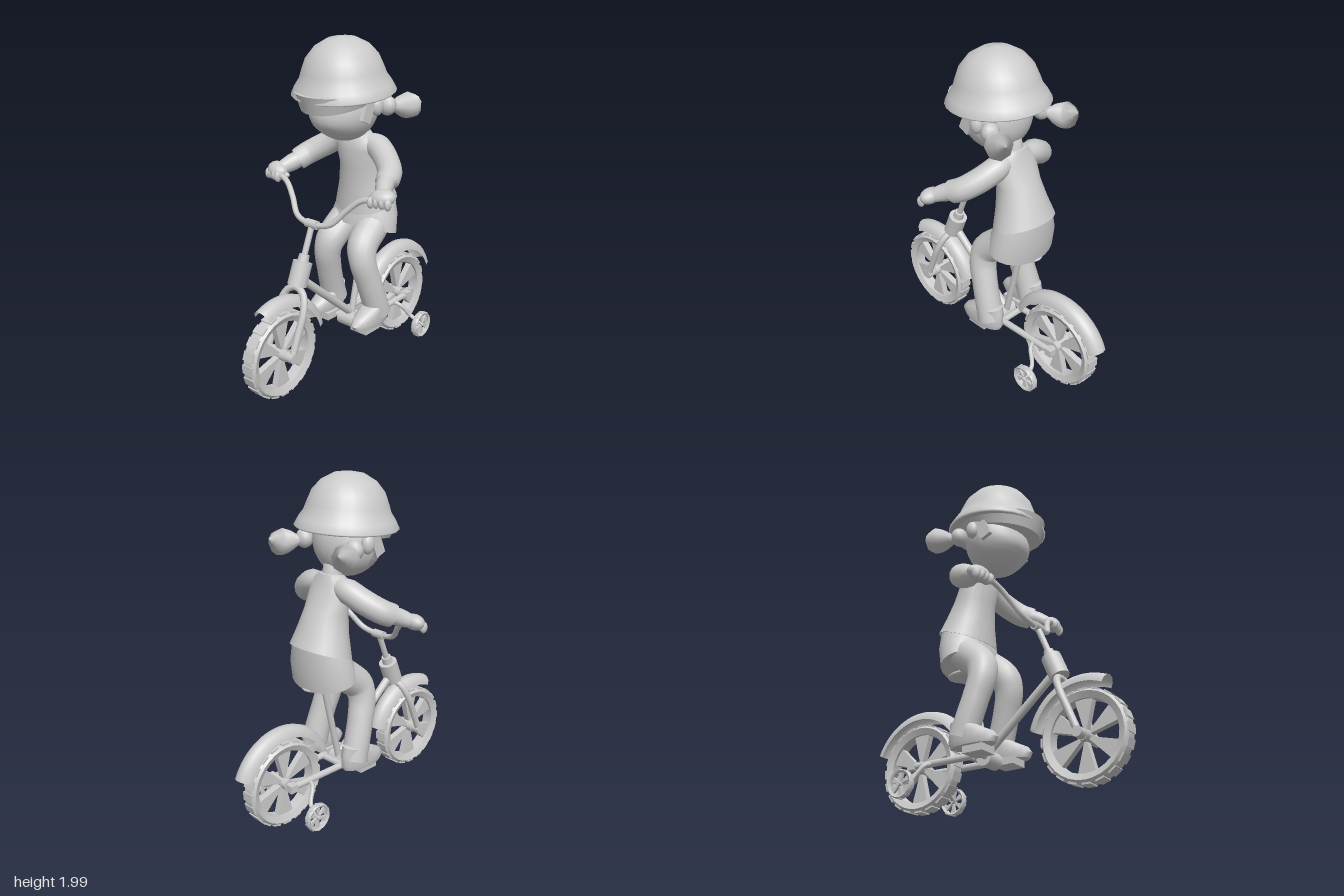
import * as THREE from 'three';
import { toCreasedNormals } from 'three/addons/utils/BufferGeometryUtils.js';

const mat = new THREE.MeshStandardMaterial({ color: 0xcccccc });
const thin = new THREE.MeshStandardMaterial({ color: 0xcccccc, side: THREE.DoubleSide });
const V = (p) => new THREE.Vector3(p[0], p[1], p[2]);
const P2 = (list) => list.map(([r, y]) => new THREE.Vector2(r, y));

function add(parent, name, geo, pos = [0, 0, 0], material = mat) {
  const m = new THREE.Mesh(geo, material);
  m.name = name;
  m.position.set(...pos);
  parent.add(m);
  return m;
}

// Ellipsoid with its own radii
const blob = (rx, ry, rz, w = 16, h = 12) => new THREE.SphereGeometry(1, w, h).scale(rx, ry, rz);

// Straight cylinder between two points
function rod(parent, name, a, b, r, r2 = r, sides = 14) {
  const d = V(b).sub(V(a));
  const m = add(parent, name, new THREE.CylinderGeometry(r2, r, d.length(), sides));
  m.position.copy(V(a).add(V(b)).multiplyScalar(0.5));
  m.quaternion.setFromUnitVectors(new THREE.Vector3(0, 1, 0), d.normalize());
  return m;
}

function pipe(parent, name, pts, r, n = 40) {
  return add(parent, name, new THREE.TubeGeometry(new THREE.CatmullRomCurve3(pts.map(V)), n, r, 10));
}

// Tube whose radius follows the fourth number of each point
function limb(parent, name, pts, n = 28, sides = 14) {
  const curve = new THREE.CatmullRomCurve3(pts.map(V));
  const geo = new THREE.TubeGeometry(curve, n, 1, sides);
  const pos = geo.attributes.position, v = new THREE.Vector3();
  for (let i = 0; i <= n; i++) {
    const c = curve.getPointAt(i / n);
    const t = curve.getUtoTmapping(i / n) * (pts.length - 1);
    const k = Math.min(Math.floor(t), pts.length - 2);
    const r = THREE.MathUtils.lerp(pts[k][3], pts[k + 1][3], t - k);
    for (let j = 0; j <= sides; j++) {
      const id = i * (sides + 1) + j;
      v.fromBufferAttribute(pos, id).sub(c).multiplyScalar(r).add(c);
      pos.setXYZ(id, v.x, v.y, v.z);
    }
  }
  return add(parent, name, geo);
}

// Stacked ellipses, bottom to top: [y, z, rx, rz, rise towards the front]
function loft(sections, sides = 24) {
  const pos = [], idx = [];
  sections.forEach(([y, z, rx, rz, tilt], k) => {
    for (let i = 0; i < sides; i++) {
      const a = (i / sides) * Math.PI * 2, s = Math.sin(a), n = (i + 1) % sides;
      pos.push(rx * Math.cos(a), y + tilt * s, z + rz * s);
      if (k === 0) continue;
      const lo = (k - 1) * sides, hi = k * sides;
      idx.push(lo + i, hi + i, lo + n, lo + n, hi + i, hi + n);
    }
  });
  const g = new THREE.BufferGeometry();
  g.setAttribute('position', new THREE.Float32BufferAttribute(pos, 3));
  g.setIndex(idx);
  return toCreasedNormals(g, 0.9);
}

// Wheel turning about x, with six wedge blades
function wheel(parent, name, R, w, pos, treads) {
  const g = new THREE.Group();
  g.name = name;
  g.position.set(...pos);
  parent.add(g);
  const rin = R * 0.78;
  const prof = [[rin, -w * 0.7], [R * 0.92, -w], [R * 0.985, -w * 0.6], [R * 0.985, w * 0.6], [R * 0.92, w], [rin, w * 0.7], [rin, -w * 0.7]];
  add(g, 'tyre', toCreasedNormals(new THREE.LatheGeometry(P2(prof), 32).rotateZ(Math.PI / 2), 0.6));
  for (let i = 0; i < treads; i++) {
    const a = (i / treads) * Math.PI * 2;
    const t = add(g, 'tread', new THREE.BoxGeometry(w * 1.5, R * 0.04, R * 0.2), [0, Math.cos(a) * R * 0.98, Math.sin(a) * R * 0.98]);
    t.rotation.x = a;
  }
  const s = new THREE.Shape(), h = 0.26;
  s.moveTo(0, 0);
  s.lineTo(Math.cos(h) * R * 0.8, -Math.sin(h) * R * 0.8);
  s.lineTo(R * 0.82, 0);
  s.lineTo(Math.cos(h) * R * 0.8, Math.sin(h) * R * 0.8);
  const blade = new THREE.ExtrudeGeometry(s, { depth: w * 0.8, bevelEnabled: false }).translate(0, 0, -w * 0.4).rotateY(Math.PI / 2);
  for (let i = 0; i < 6; i++) add(g, 'blade', blade).rotation.x = Math.PI / 6 + i * Math.PI / 3;
  add(g, 'hub', new THREE.CylinderGeometry(R * 0.13, R * 0.13, w * 2.3, 14).rotateZ(Math.PI / 2));
}

// Curved mudguard around an axle, angles in degrees from the front
function fender(parent, name, y, z, from, to) {
  const prof = [[0.29, -0.058], [0.32, -0.052], [0.342, -0.03], [0.35, 0], [0.342, 0.03], [0.32, 0.052], [0.29, 0.058]];
  const d = Math.PI / 180;
  add(parent, name, new THREE.LatheGeometry(P2(prof), 24, from * d, (to - from) * d).rotateZ(Math.PI / 2), [0, y, z], thin);
}

function buildBike() {
  const bike = new THREE.Group();
  bike.name = 'bicycle';
  wheel(bike, 'frontWheel', 0.26, 0.05, [0, 0.27, 0.585], 20);
  wheel(bike, 'rearWheel', 0.26, 0.05, [0, 0.27, -0.5], 20);
  fender(bike, 'frontFender', 0.27, 0.585, 64, 165);
  fender(bike, 'rearFender', 0.27, -0.5, 22, 158);

  // Steering column, fork and handlebar
  rod(bike, 'headTube', [0, 0.64, 0.435], [0, 0.77, 0.382], 0.057, 0.057, 18);
  rod(bike, 'headCollar', [0, 0.765, 0.384], [0, 0.81, 0.366], 0.034, 0.03);
  rod(bike, 'stem', [0, 0.78, 0.378], [0, 0.98, 0.297], 0.018);
  pipe(bike, 'fork', [[-0.095, 0.27, 0.585], [-0.095, 0.4, 0.532], [-0.093, 0.52, 0.483], [-0.06, 0.605, 0.449], [0, 0.63, 0.438],
    [0.06, 0.605, 0.449], [0.093, 0.52, 0.483], [0.095, 0.4, 0.532], [0.095, 0.27, 0.585]], 0.021);
  pipe(bike, 'handlebar', [[-0.46, 1.165, 0.18], [-0.38, 1.17, 0.19], [-0.28, 1.15, 0.21], [-0.2, 1.08, 0.245], [-0.13, 1.0, 0.285], [-0.05, 0.975, 0.3],
    [0.05, 0.975, 0.3], [0.13, 1.0, 0.285], [0.2, 1.08, 0.245], [0.28, 1.15, 0.21], [0.38, 1.17, 0.19], [0.46, 1.165, 0.18]], 0.017, 64);
  rod(bike, 'barClamp', [-0.04, 0.975, 0.3], [0.04, 0.975, 0.3], 0.026);
  rod(bike, 'frontAxle', [-0.115, 0.27, 0.585], [0.115, 0.27, 0.585], 0.03);

  // Frame, seat and cranks
  rod(bike, 'downTube', [0, 0.67, 0.4], [0, 0.3, -0.03], 0.024);
  rod(bike, 'seatTube', [0, 0.27, -0.05], [0, 0.79, -0.17], 0.02);
  add(bike, 'saddle', blob(0.085, 0.025, 0.12), [0, 0.79, -0.2]);
  rod(bike, 'bottomBracket', [-0.06, 0.25, -0.03], [0.06, 0.25, -0.03], 0.048, 0.048, 18);
  rod(bike, 'crankAxle', [-0.2, 0.255, -0.02], [0.2, 0.255, -0.02], 0.018);
  rod(bike, 'rearAxle', [-0.11, 0.265, -0.5], [0.11, 0.265, -0.5], 0.022);
  rod(bike, 'stayBridge', [-0.09, 0.26, -0.1], [0.09, 0.26, -0.1], 0.02);
  for (const s of [-1, 1]) {
    add(bike, 'pedal', new THREE.BoxGeometry(0.12, 0.045, 0.13), [s * 0.15, 0.262, 0]);
    rod(bike, 'chainStay', [s * 0.085, 0.26, -0.08], [s * 0.085, 0.265, -0.52], 0.02);
    add(bike, 'dropout', new THREE.BoxGeometry(0.045, 0.045, 0.05), [s * 0.09, 0.265, -0.505]);
    pipe(bike, 'stabiliserArm', [[s * 0.09, 0.26, -0.37], [s * 0.13, 0.245, -0.385], [s * 0.175, 0.165, -0.44], [s * 0.245, 0.125, -0.455]], 0.013, 20);
    wheel(bike, 'stabiliserWheel', 0.083, 0.02, [s * 0.245, 0.122, -0.455], 10);
  }
  return bike;
}

function buildRider() {
  const rider = new THREE.Group();
  rider.name = 'rider';

  // Clothes
  add(rider, 'shirt', loft([[1.0, -0.185, 0.185, 0.145, -0.055], [1.0, -0.188, 0.198, 0.162, -0.055], [1.12, -0.168, 0.16, 0.138, -0.03],
    [1.24, -0.142, 0.135, 0.117, -0.01], [1.34, -0.108, 0.145, 0.098, 0], [1.4, -0.1, 0.14, 0.08, 0], [1.44, -0.1, 0.085, 0.064, -0.01], [1.46, -0.1, 0, 0, 0]]), [0, 0, 0], thin);
  add(rider, 'shorts', loft([[0.9, -0.18, 0, 0, 0], [0.84, -0.165, 0.2, 0.13, 0.045], [0.835, -0.165, 0.225, 0.145, 0.045], [0.93, -0.18, 0.215, 0.155, 0],
    [1.02, -0.185, 0.185, 0.148, -0.05]]), [0, 0, 0], thin);
  limb(rider, 'neck', [[0, 1.4, -0.1, 0.065], [0, 1.46, -0.085, 0.06], [0, 1.54, -0.05, 0.075]], 8);

  // Head with the lower face pushed forward
  const face = blob(0.205, 0.205, 0.185, 24, 18), p = face.attributes.position;
  for (let i = 0; i < p.count; i++) {
    const lift = Math.max(0, 1 - Math.abs(p.getY(i) + 0.09) / 0.11);
    p.setZ(i, p.getZ(i) + Math.max(0, p.getZ(i)) * 0.2 * lift);
  }
  face.computeVertexNormals();
  add(rider, 'head', face, [0, 1.615, 0.02]);
  add(rider, 'nose', blob(0.022, 0.03, 0.025), [0, 1.525, 0.18]);

  // Fringe: slanted underside, lowest at the forehead
  const fringe = new THREE.CylinderGeometry(1.04, 0.92, 0.1, 28).scale(0.225, 1, 0.285), f = fringe.attributes.position;
  for (let i = 0; i < f.count; i++) if (f.getY(i) < 0) f.setY(i, -0.005 - 0.19 * f.getZ(i));
  add(rider, 'fringe', toCreasedNormals(fringe, 0.7), [0, 1.66, 0.04]);

  // Helmet
  const dome = [[0.21, 0.02], [0.285, -0.005], [0.295, 0.005], [0.272, 0.05], [0.245, 0.09], [0.232, 0.13], [0.205, 0.2], [0.155, 0.26], [0.085, 0.3], [0, 0.313]];
  const helmet = add(rider, 'helmet', new THREE.LatheGeometry(P2(dome), 28).scale(1, 1, 1.03), [0, 1.69, 0.02], thin);
  helmet.rotation.x = 0.07;

  for (const s of [-1, 1]) {
    // Hair
    const lock = add(rider, 'sideLock', new THREE.BoxGeometry(0.025, 0.16, 0.07), [s * 0.2, 1.63, 0.05]);
    lock.rotation.x = -0.4;
    add(rider, 'ear', blob(0.035, 0.055, 0.04), [s * 0.205, 1.63, -0.02]);
    add(rider, 'hairTie', blob(0.055, 0.058, 0.05, 10, 8), [s * 0.2, 1.615, -0.12]);
    limb(rider, 'pigtail', [[s * 0.21, 1.605, -0.15, 0.025], [s * 0.235, 1.605, -0.2, 0.065], [s * 0.26, 1.605, -0.25, 0.083],
      [s * 0.272, 1.62, -0.29, 0.055], [s * 0.278, 1.63, -0.32, 0]], 8, 8);

    // Sleeve, forearm and fist
    limb(rider, 'sleeve', [[s * 0.07, 1.385, -0.11, 0.05], [s * 0.14, 1.37, -0.11, 0.072], [s * 0.23, 1.32, -0.075, 0.072],
      [s * 0.31, 1.265, -0.01, 0.07], [s * 0.335, 1.235, 0.05, 0.068], [s * 0.342, 1.228, 0.06, 0]]);
    limb(rider, 'forearm', [[s * 0.32, 1.25, 0.02, 0.05], [s * 0.35, 1.22, 0.09, 0.052], [s * 0.385, 1.19, 0.15, 0.04]], 10);
    const hand = add(rider, 'hand', blob(0.075, 0.046, 0.055), [s * 0.395, 1.185, 0.165]);
    hand.rotation.set(0.4, s * 0.3, 0);
    for (let i = 0; i < 4; i++) add(rider, 'finger', blob(0.018, 0.034, 0.026, 10, 8), [s * (0.35 + i * 0.033), 1.16 + (i % 3 ? 0.004 : 0), 0.21 - i * 0.008]);
    add(rider, 'thumb', blob(0.035, 0.018, 0.02, 10, 8), [s * 0.335, 1.165, 0.165]);

    // Leg and shoe
    limb(rider, 'leg', [[s * 0.1, 0.93, -0.2, 0.08], [s * 0.107, 0.86, -0.11, 0.098], [s * 0.12, 0.77, -0.005, 0.092], [s * 0.137, 0.69, 0.012, 0.082],
      [s * 0.155, 0.56, -0.02, 0.077], [s * 0.168, 0.43, -0.06, 0.078], [s * 0.173, 0.33, -0.09, 0.082]], 32, 16);
    const shoe = loft([[0.28, -0.02, 0, 0, 0], [0.28, -0.02, 0.062, 0.145, 0], [0.31, -0.02, 0.07, 0.16, 0], [0.36, -0.03, 0.068, 0.145, -0.015],
      [0.41, -0.07, 0.066, 0.095, -0.02], [0.45, -0.065, 0, 0, 0]]);
    add(rider, 'shoe', shoe, [s * 0.172, 0, 0]);
  }
  return rider;
}

export function createModel() {
  const model = new THREE.Group();
  model.name = 'childOnBicycle';
  model.add(buildBike(), buildRider());
  return model;
}
